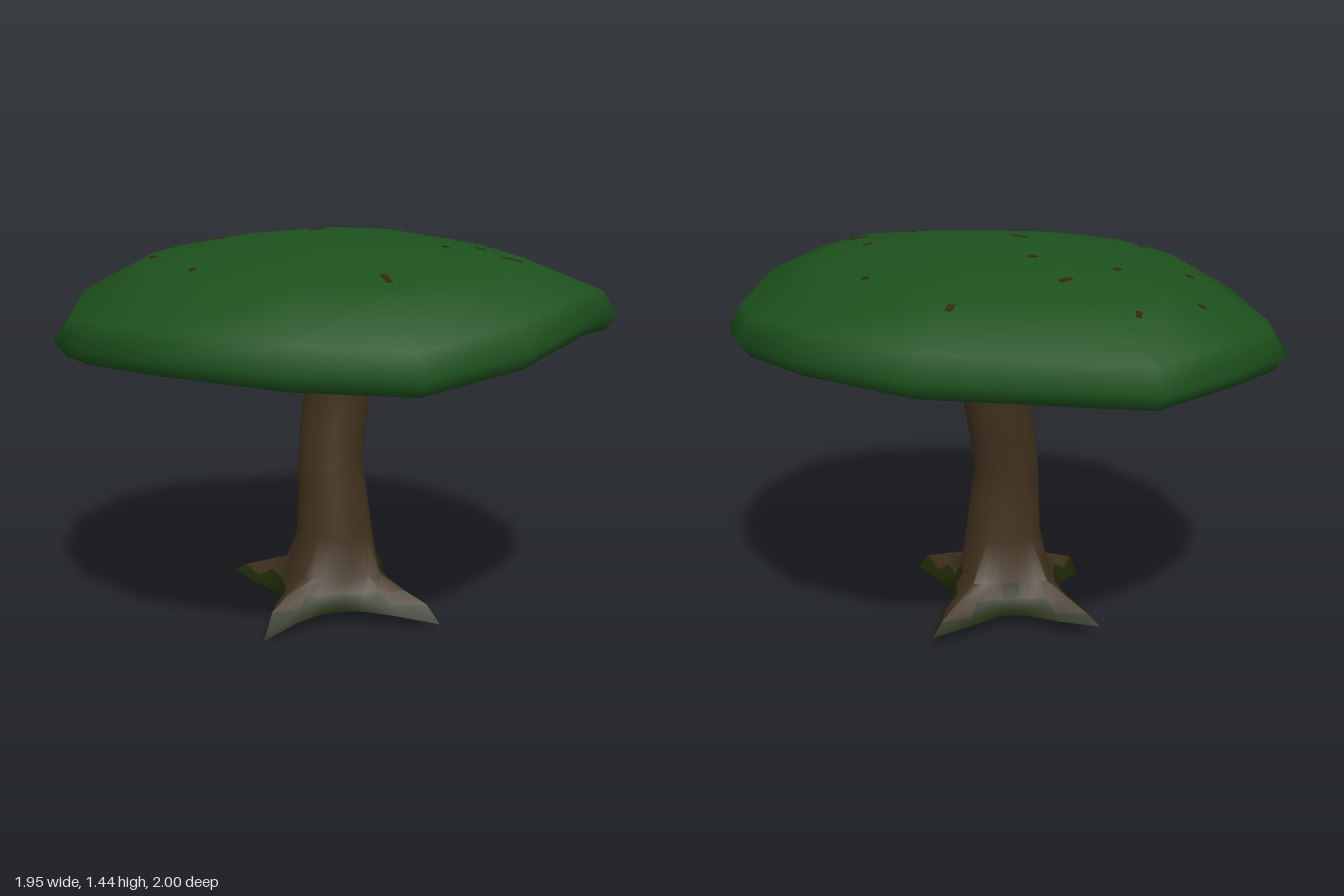
import * as THREE from 'three';
import { toCreasedNormals } from 'three/addons/utils/BufferGeometryUtils.js';

const V = (x, y, z) => new THREE.Vector3(x, y, z);

// Skin between closed rings of equal point count; cellMaterial picks a material index per cell
function loft(rings, crease = 1.0, cellMaterial = () => 0) {
  const n = rings[0].length, pos = [], idx = [];
  const geo = new THREE.BufferGeometry();
  rings.forEach(ring => ring.forEach(p => pos.push(p.x, p.y, p.z)));
  for (let r = 0; r < rings.length - 1; r++) {
    for (let i = 0; i < n; i++) {
      const a = r * n + i, b = r * n + (i + 1) % n, c = a + n, d = b + n;
      const m = cellMaterial(r, i), last = geo.groups[geo.groups.length - 1];
      if (last && last.materialIndex === m) last.count += 6;
      else geo.addGroup(idx.length, 6, m);
      idx.push(a, c, b, b, c, d);
    }
  }
  geo.setAttribute('position', new THREE.Float32BufferAttribute(pos, 3));
  geo.setIndex(idx);
  return toCreasedNormals(geo, crease);
}

// Tapered limb along a path, radii spread evenly over its length
function limb(points, radii, sides, steps) {
  const curve = new THREE.CatmullRomCurve3(points);
  const rings = [];
  for (let s = 0; s <= steps; s++) {
    const f = s / steps, p = curve.getPoint(f), t = curve.getTangent(f);
    const u = V(0, 1, 0).cross(t).negate().normalize();
    const v = u.clone().cross(t);
    const k = f * (radii.length - 1), j = Math.min(Math.floor(k), radii.length - 2);
    const rad = THREE.MathUtils.lerp(radii[j], radii[j + 1], k - j);
    rings.push(Array.from({ length: sides }, (_, i) => {
      const a = i / sides * Math.PI * 2;
      return p.clone().addScaledVector(u, Math.cos(a) * rad).addScaledVector(v, Math.sin(a) * rad);
    }));
  }
  return loft(rings);
}

export function createModel() {
  const group = new THREE.Group();
  const mat = (name, color) => {
    const m = new THREE.MeshStandardMaterial({ color });
    m.name = name;
    return m;
  };
  const leaf = mat('leaf green', 0x1d511d);
  const bark = mat('bark brown', 0x40311e);
  const moss = mat('moss green', 0x1f2906);
  const dark = mat('dark wood', 0x3a261a);
  const olive = mat('olive brown', 0x33290f);
  const add = (name, geo, material) => {
    const m = new THREE.Mesh(geo, material);
    m.name = name;
    group.add(m);
    return m;
  };

  // Canopy: uneven rim (x, rim height, z), domed top and shallow underside
  const rim = [
    [-0.2, 1.11, -1], [0.55, 1.16, -0.81], [0.85, 1.18, -0.51], [0.97, 1.15, -0.1], [0.95, 1.11, 0.31],
    [0.79, 1.16, 0.64], [0.53, 1.2, 0.88], [0.2, 1.13, 1], [-0.17, 1.07, 0.98], [-0.55, 1.09, 0.81],
    [-0.85, 1.11, 0.51], [-0.98, 1.09, 0.1], [-0.95, 1.05, -0.31], [-0.79, 1.1, -0.65], [-0.53, 1.13, -0.88],
  ];
  // [scale, height, share of rim unevenness]
  const canopyProfile = [
    [0, 1.24, 0], [0.36, 1.22, 0.15], [0.68, 1.165, 0.45], [0.955, 1.065, 1],
    [1, 1.12, 1], [0.945, 1.205, 1], [0.68, 1.335, 0.35], [0.36, 1.4, 0.15], [0, 1.443, 0],
  ];
  const canopyRings = canopyProfile.map(([f, y, k]) =>
    rim.map(([x, ry, z]) => V(x * f, y + (ry - 1.12) * k, z * f)));
  const canopy = add('canopy', loft(canopyRings, 1.42), leaf);

  // Twigs half sunk in the underside of the canopy
  rim.forEach((_, i) => {
    const [c, a, b, lip] = [0, 1, 2, 3].map(r => canopyRings[r][i]);
    const path = [c.clone().lerp(a, 0.3), a, b, b.clone().lerp(lip, i % 2 ? 0.25 : 0.6)];
    add('twig', limb(path, [0.022, 0.021, 0.017, 0.004], 5, 6), dark);
  });

  // Small flecks lying on top of the canopy: [x, z, length, heading]
  const down = new THREE.Raycaster();
  [
    [-0.22, -0.72, 0.03, 1.2], [-0.06, -0.48, 0.045, 0.3], [-0.27, -0.4, 0.03, 0.8], [-0.02, -0.26, 0.03, 0.2],
    [-0.05, -0.02, 0.06, -0.3], [-0.56, -0.35, 0.045, 1.4], [-0.48, -0.63, 0.025, 0], [0.36, -0.59, 0.035, 0.9],
    [0.55, -0.22, 0.025, -0.4], [0.43, 0.31, 0.03, 0], [0.42, 0.53, 0.07, -0.7], [-0.1, 0.6, 0.07, 1.4],
    [-0.59, 0.15, 0.03, 1.5], [0.24, 0.39, 0.02, 0.6],
  ].forEach(([x, z, len, heading]) => {
    down.set(V(x, 3, z), V(0, -1, 0));
    const hit = down.intersectObject(canopy)[0];
    const fleck = add('fleck', new THREE.BoxGeometry(len, 0.006, 0.02).rotateY(heading), olive);
    fleck.position.copy(hit.point);
    fleck.quaternion.setFromUnitVectors(V(0, 1, 0), hit.face.normal);
  });

  // Root tips (x, y, z), ordered around the trunk
  const tips = [V(0.24, 0.03, 0.4), V(-0.37, 0, 0.2), V(-0.24, 0.065, -0.4), V(0.36, 0.055, -0.29)];
  const PER = 8;
  const rays = [];
  tips.forEach((tip, k) => {
    const next = tips[(k + 1) % 4];
    const a0 = Math.atan2(tip.z, tip.x);
    let a1 = Math.atan2(next.z, next.x);
    if (a1 < a0) a1 += Math.PI * 2;
    for (let j = 0; j < PER; j++) {
      const u = j / PER, near = u < 0.5 ? tip : next;
      rays.push({
        a: a0 + (a1 - a0) * u, w: Math.pow(Math.abs(2 * u - 1), 2.6),
        reach: Math.hypot(near.x, near.z), drop: near.y,
      });
    }
  });

  // Root rings: [valley radius, valley y, reach towards tip 0..1, root y (null = tip height)]
  const mix = THREE.MathUtils.lerp;
  const rootRings = [
    [0, 0.08, 0, 0.08], [0.17, 0.068, 0.78, 0.068], [0.205, 0.058, 1, null],
    [0.205, 0.085, 0.88, 0.095], [0.19, 0.12, 0.68, 0.13], [0.165, 0.17, 0.45, 0.17],
  ].map(([vr, vy, reach, ry]) => rays.map(({ a, w, reach: full, drop }) => {
    const r = vr === 0 ? 0 : mix(vr, full * reach, w);
    return V(Math.cos(a) * r, mix(vy, ry === null ? drop : ry, w * w), Math.sin(a) * r);
  }));

  // Leaning trunk rings: [y, centre x, centre z, radius]
  const trunkRings = [
    [0.32, 0.005, 0.008, 0.14], [0.5, 0, -0.005, 0.125], [0.57, -0.005, -0.008, 0.118],
    [0.7, 0.015, -0.028, 0.122], [0.9, 0.045, -0.033, 0.124], [1.06, 0.045, -0.02, 0.136],
    [1.15, 0.045, -0.02, 0.16], [1.2, 0.045, -0.02, 0],
  ].map(([y, cx, cz, r]) => rays.map(({ a }) => V(cx + Math.cos(a) * r, y, cz + Math.sin(a) * r)));

  // Trunk and roots: dark underside, moss on tips and in the hollows, bark on the ridges and above
  const rootMaterial = (r, i) => {
    const j = i % PER, ridge = j === 0 || j === PER - 1, hollow = j === 3 || j === 4;
    if (r < 2) return 0;
    if (r === 2 || (r === 3 && !ridge)) return 1;
    return r === 4 && hollow && i >= PER * 2 ? 1 : 2;
  };
  add('trunkAndRoots', loft([...rootRings, ...trunkRings], 0.9, rootMaterial), [dark, moss, bark]);

  // Four branches spreading under the canopy: [tip x, tip z, sag height, tip height]
  [
    [0.75, -0.38, 1.095, 1.13], [0.55, 0.64, 1.12, 1.125],
    [-0.76, 0.3, 1.1, 1.075], [-0.63, -0.55, 1.1, 1.075],
  ].forEach(([x, z, sag, end]) => {
    const path = [
      V(0.045, 1.15, -0.02), V(x * 0.45, sag, z * 0.45), V(x * 0.72, sag + 0.005, z * 0.72), V(x, end, z),
    ];
    add('branch', limb(path, [0.08, 0.058, 0.05, 0.038, 0.004], 8, 12), bark);
  });

  return group;
}
